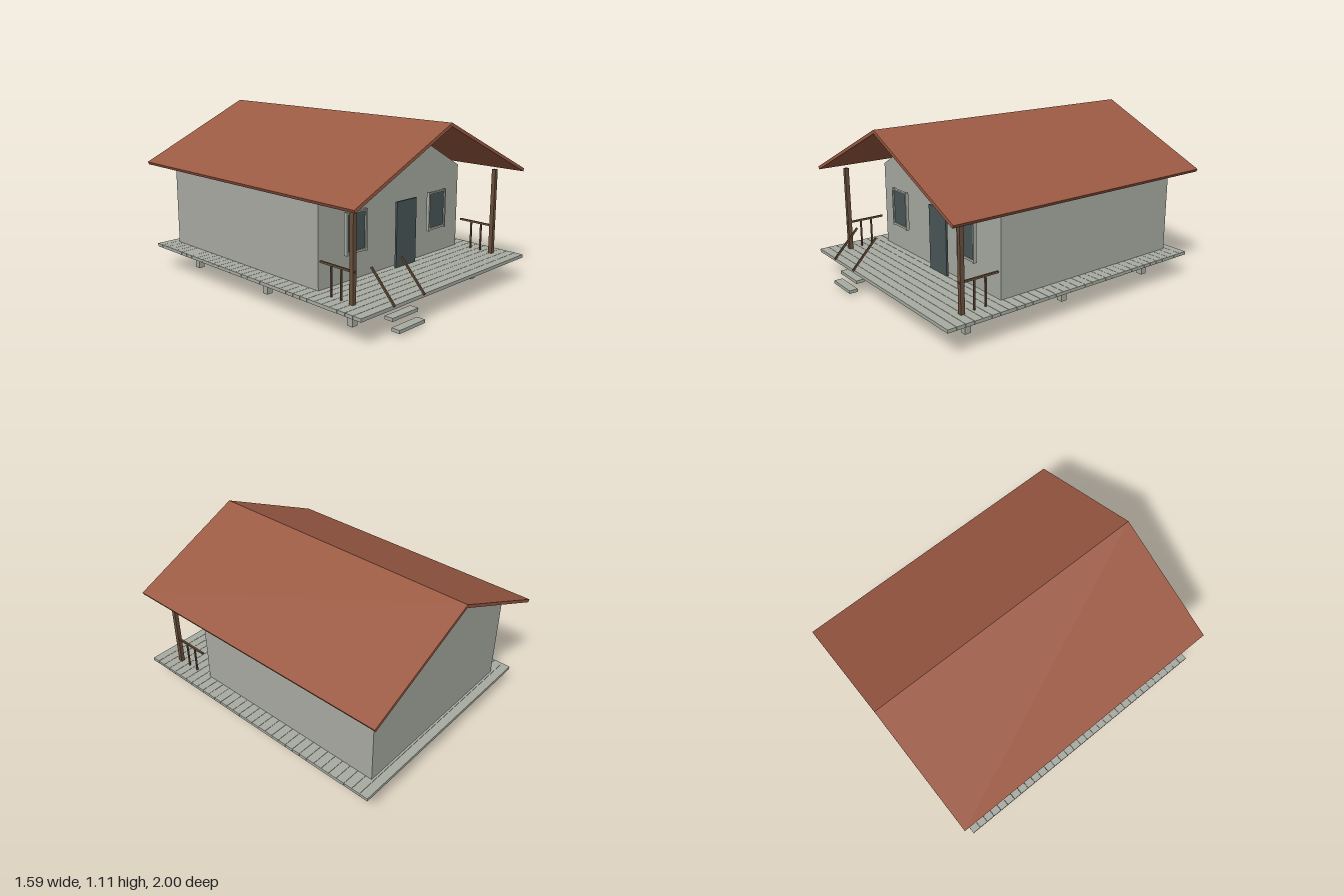
import * as THREE from 'three';

const material = (name, color) => {
  const m = new THREE.MeshStandardMaterial({ color });
  m.name = name;
  return m;
};

export function createModel() {
  const house = new THREE.Group();
  house.name = 'cabin';
  const grey = material('weathered grey', 0xa8aba2);
  const red = material('rust red', 0x9b5a43);
  const dark = material('dark slate', 0x4a5757);
  const wood = material('brown wood', 0x6a503d);

  // Box given by its extents along each axis
  const box = (name, mat, [x0, x1], [y0, y1], [z0, z1], parent = house) => {
    const mesh = new THREE.Mesh(new THREE.BoxGeometry(x1 - x0, y1 - y0, z1 - z0), mat);
    mesh.position.set((x0 + x1) / 2, (y0 + y1) / 2, (z0 + z1) / 2);
    mesh.name = name;
    parent.add(mesh);
    return mesh;
  };

  // Front profile extended along z
  const prism = (name, mat, points, z0, z1) => {
    const shape = new THREE.Shape(points.map(([x, y]) => new THREE.Vector2(x, y)));
    const geo = new THREE.ExtrudeGeometry(shape, { depth: z1 - z0, bevelEnabled: false });
    const mesh = new THREE.Mesh(geo, mat);
    mesh.position.z = z0;
    mesh.name = name;
    house.add(mesh);
  };

  // Walls with gables, and the pitched roof
  prism('walls', grey,
    [[-0.65, 0.175], [0.65, 0.175], [0.65, 0.735], [0, 1.086], [-0.65, 0.735]], -0.885, 0.515);
  prism('roof', red,
    [[0, 1.11], [-0.797, 0.744], [-0.788, 0.726], [0, 1.088], [0.788, 0.726], [0.797, 0.744]], -1, 0.93);

  // Deck planks
  const deck = new THREE.Group();
  deck.name = 'deck';
  house.add(deck);
  const planks = 33, pitch = 1.924 / planks;
  for (let i = 0; i < planks; i++) {
    const z = -0.957 + i * pitch;
    box('plank', grey, [-0.778, 0.778], [0.154, 0.175], [z, z + pitch - 0.002], deck);
  }

  // Foundation piers
  for (const x of [-0.57, 0.57])
    for (const z of [0.705, -0.03, -0.764])
      box('pier', grey, [x - 0.021, x + 0.021], [0, 0.155], [z - 0.021, z + 0.021]);

  // Steps
  for (let i = 0; i < 3; i++)
    box('step', grey, [-0.51, -0.29], [0.02 + i * 0.055, 0.04 + i * 0.055],
      [0.943 - i * 0.05, 1 - i * 0.05]);

  // Sloping stair handrails
  for (const x of [-0.528, -0.272]) {
    const rail = box('stairRail', wood, [x - 0.005, x + 0.005], [0.261, 0.273], [0.768, 1.018]);
    rail.position.z = 0.893;
    rail.rotation.x = Math.atan2(0.18, 0.17);
  }

  // Porch posts, side rails and balusters
  for (const s of [-1, 1]) {
    const x = s * 0.663;
    box('porchPost', wood, [x - 0.013, x + 0.013], [0.175, 0.738], [0.783, 0.81]);
    box('porchRail', wood, [x - 0.006, x + 0.006], [0.355, 0.367], [0.545, 0.815]);
    for (const z of [0.71, 0.633])
      box('baluster', wood, [x - 0.005, x + 0.005], [0.175, 0.357], [z - 0.005, z + 0.005]);
  }

  // Door
  box('door', dark, [-0.025, 0.162], [0.175, 0.595], [0.547, 0.56]);

  // Windows: pane with four frame bars
  for (const x of [-0.384, 0.371]) {
    const win = new THREE.Group();
    win.name = 'window';
    house.add(win);
    box('pane', dark, [x - 0.076, x + 0.076], [0.365, 0.595], [0.551, 0.557], win);
    for (const s of [-1, 1])
      box('frameSide', grey, [x + s * 0.081 - 0.006, x + s * 0.081 + 0.006],
        [0.35, 0.607], [0.544, 0.566], win);
    box('frameSill', grey, [x - 0.075, x + 0.075], [0.354, 0.368], [0.546, 0.564], win);
    box('frameHead', grey, [x - 0.075, x + 0.075], [0.593, 0.603], [0.546, 0.564], win);
  }

  return house;
}
